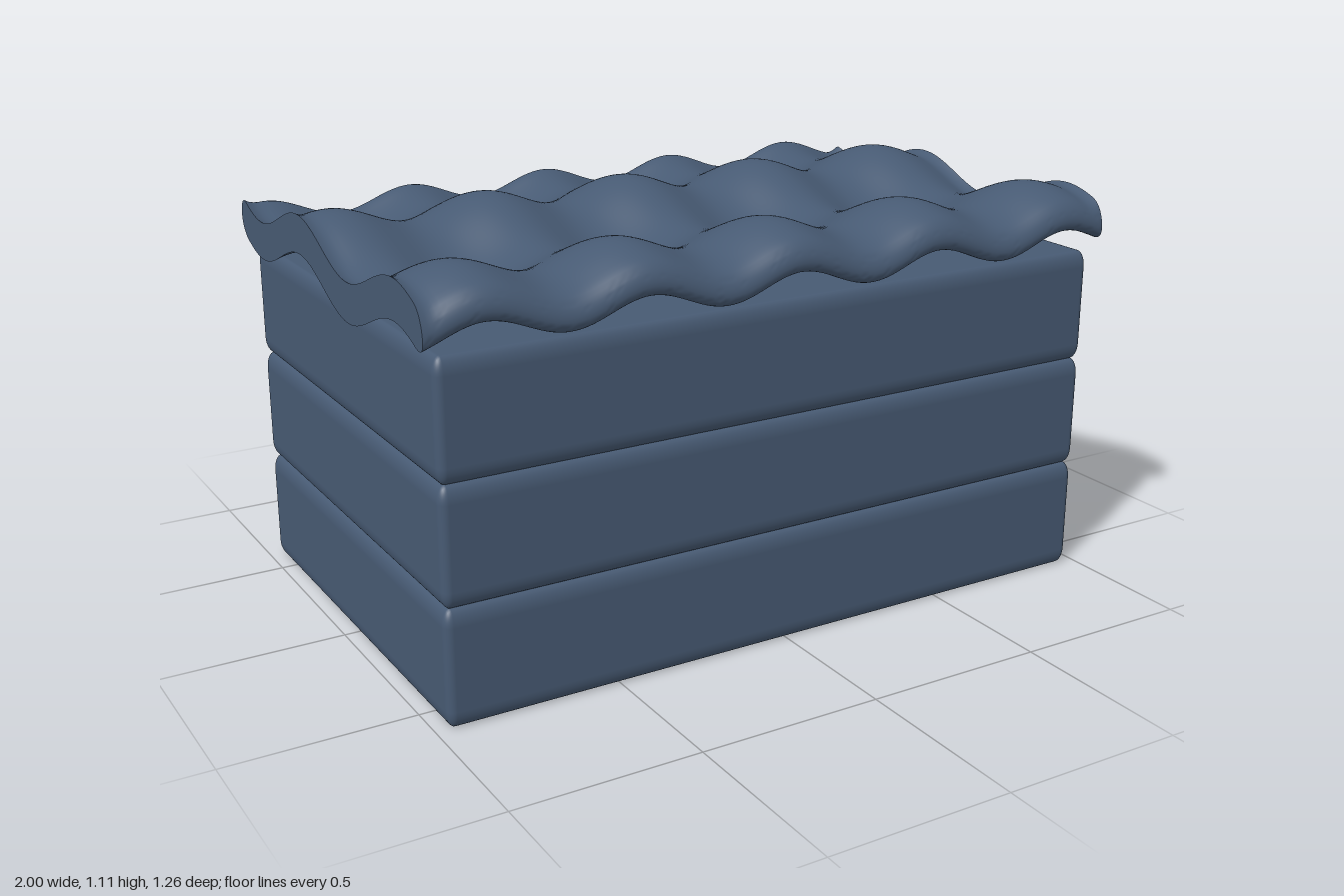
import * as THREE from 'three';
import { RoundedBoxGeometry } from 'three/addons/geometries/RoundedBoxGeometry.js';
import { toCreasedNormals } from 'three/addons/utils/BufferGeometryUtils.js';

const HALF_X = 1, HALF_Z = 0.63, HALF_T = 0.041, MID_Y = 0.995;

// Height of the rippled cover above its middle plane
function ripple(x, z) {
  const acrossDepth = -0.045 * Math.sin(10 * z);
  const acrossWidth = 0.028 * Math.cos(14.6 * (x + 0.03 - 0.08 * z));
  return acrossDepth + acrossWidth;
}

// Thin slab with rolled front and back edges and flared ends, bent by the ripple
function coverGeometry() {
  const geo = new THREE.BoxGeometry(2 * HALF_X, 2 * HALF_T, 2 * HALF_Z, 140, 8, 90);
  const pos = geo.attributes.position;
  const core = HALF_Z - HALF_T;
  for (let i = 0; i < pos.count; i++) {
    const x = pos.getX(i);
    let y = pos.getY(i), z = pos.getZ(i);
    const dz = z - THREE.MathUtils.clamp(z, -core, core);
    if (dz !== 0) {
      // square edge to half circle
      const k = Math.max(Math.abs(y), Math.abs(dz)) / Math.hypot(y, dz);
      y *= k;
      z += dz * (k - 1);
    }
    const end = Math.max(0, (Math.abs(x) - 0.955) / 0.045);
    if (y > 0) y += 0.022 * end * end * (y / HALF_T);
    pos.setXYZ(i, x, MID_Y + y + ripple(x, z), z);
  }
  return toCreasedNormals(geo, 0.9);
}

export function createModel() {
  const group = new THREE.Group();
  const slate = new THREE.MeshStandardMaterial({ color: 0x475a73 });
  slate.name = 'slate blue';

  // Three stacked cushions with softly rounded edges
  const h = 0.31;
  const layerGeo = new RoundedBoxGeometry(3.88, h, 2.46, 4, 0.045);
  layerGeo.scale(0.5, 1, 0.5);
  for (let i = 0; i < 3; i++) {
    const layer = new THREE.Mesh(layerGeo, slate);
    layer.name = `stackLayer${i + 1}`;
    layer.position.y = h * (i + 0.5);
    group.add(layer);
  }

  // Wavy cover lying on top
  const cover = new THREE.Mesh(coverGeometry(), slate);
  cover.name = 'wavyCover';
  group.add(cover);

  return group;
}
